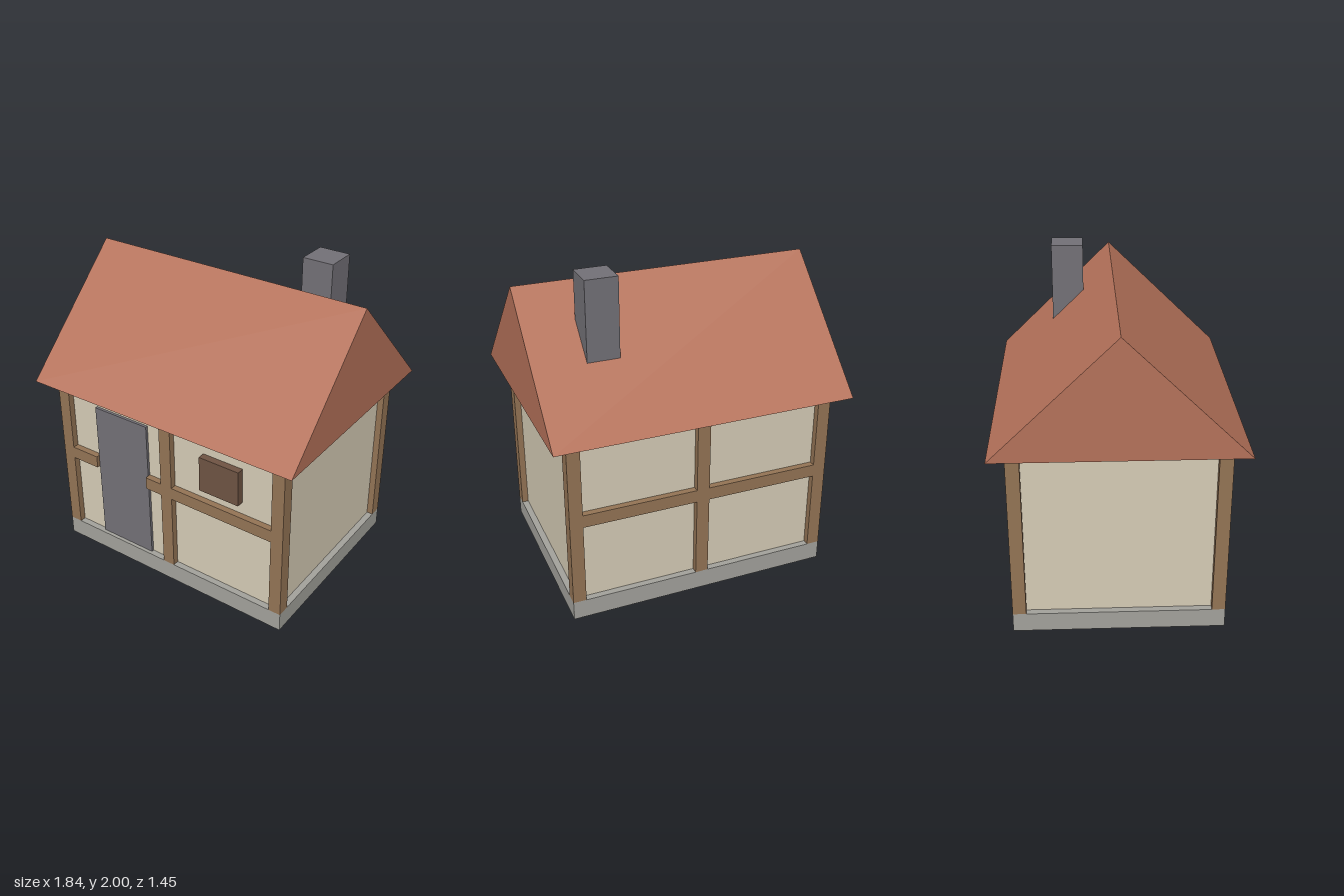
import * as THREE from 'three';

const mat = (name, color) => {
  const m = new THREE.MeshStandardMaterial({ color });
  m.name = name;
  return m;
};

export function createModel() {
  const stone = mat('foundation stone', 0xa3a29c);
  const plaster = mat('cream plaster', 0xd6ccb6);
  const timber = mat('timber brown', 0x947455);
  const shutterWood = mat('dark brown', 0x6f5443);
  const slate = mat('slate grey', 0x737177);
  const tile = mat('roof terracotta', 0xb5725a);

  const house = new THREE.Group();
  house.name = 'cottage';

  // Box given by its minimum and maximum on each axis
  const box = (name, material, [x0, x1], [y0, y1], [z0, z1]) => {
    const mesh = new THREE.Mesh(new THREE.BoxGeometry(x1 - x0, y1 - y0, z1 - z0), material);
    mesh.position.set((x0 + x1) / 2, (y0 + y1) / 2, (z0 + z1) / 2);
    mesh.name = name;
    house.add(mesh);
  };

  const W = 0.825, D = 0.63, T = 0.08; // half width, half depth, beam thickness
  const base = 0.12, eaves = 1.18, inset = 0.04;

  box('foundation', stone, [-W, W], [0, base], [-D, D]);
  box('walls', plaster, [-W + inset, W - inset], [base, eaves], [-D + inset, D - inset]);

  // Timber frame on the front and back, with corner posts shared by the sides
  for (const s of [1, -1]) {
    const side = s > 0 ? 'front' : 'back';
    const band = (depth) => (s > 0 ? [D - depth, D] : [-D, -D + depth]);
    box(side + 'LeftPost', timber, [W - T, W], [base, eaves], band(T));
    box(side + 'RightPost', timber, [-W, -W + T], [base, eaves], band(T));
    box(side + 'MiddlePost', timber, [-0.04, 0.04], [base, eaves], band(inset));
    for (const [x0, x1] of [[-W + T, -0.04], [0.04, W - T]]) {
      box(side + 'TopBeam', timber, [x0, x1], [1.14, eaves], band(inset));
    }
    // The front rail is interrupted by the door
    const rails = s > 0
      ? [[-W + T, -0.55], [-0.155, -0.04], [0.04, W - T]]
      : [[-W + T, -0.04], [0.04, W - T]];
    for (const r of rails) box(side + 'Rail', timber, r, [0.63, 0.71], band(inset));
  }

  box('door', slate, [-0.55, -0.155], [base, 1.06], [0.57, 0.607]);
  box('window', shutterWood, [0.253, 0.525], [0.79, 1.02], [0.57, 0.635]);
  box('chimney', slate, [0.41, 0.605], [1.45, 2], [-0.375, -0.178]);

  // Solid gable roof, extruded along x
  const gable = new THREE.Shape();
  gable.moveTo(-0.725, eaves);
  gable.lineTo(0.725, eaves);
  gable.lineTo(0, 1.885);
  gable.closePath();
  const roofGeometry = new THREE.ExtrudeGeometry(gable, { depth: 1.84, bevelEnabled: false });
  roofGeometry.translate(0, 0, -0.92);
  roofGeometry.rotateY(Math.PI / 2);
  const roof = new THREE.Mesh(roofGeometry, tile);
  roof.name = 'roof';
  house.add(roof);

  return house;
}
